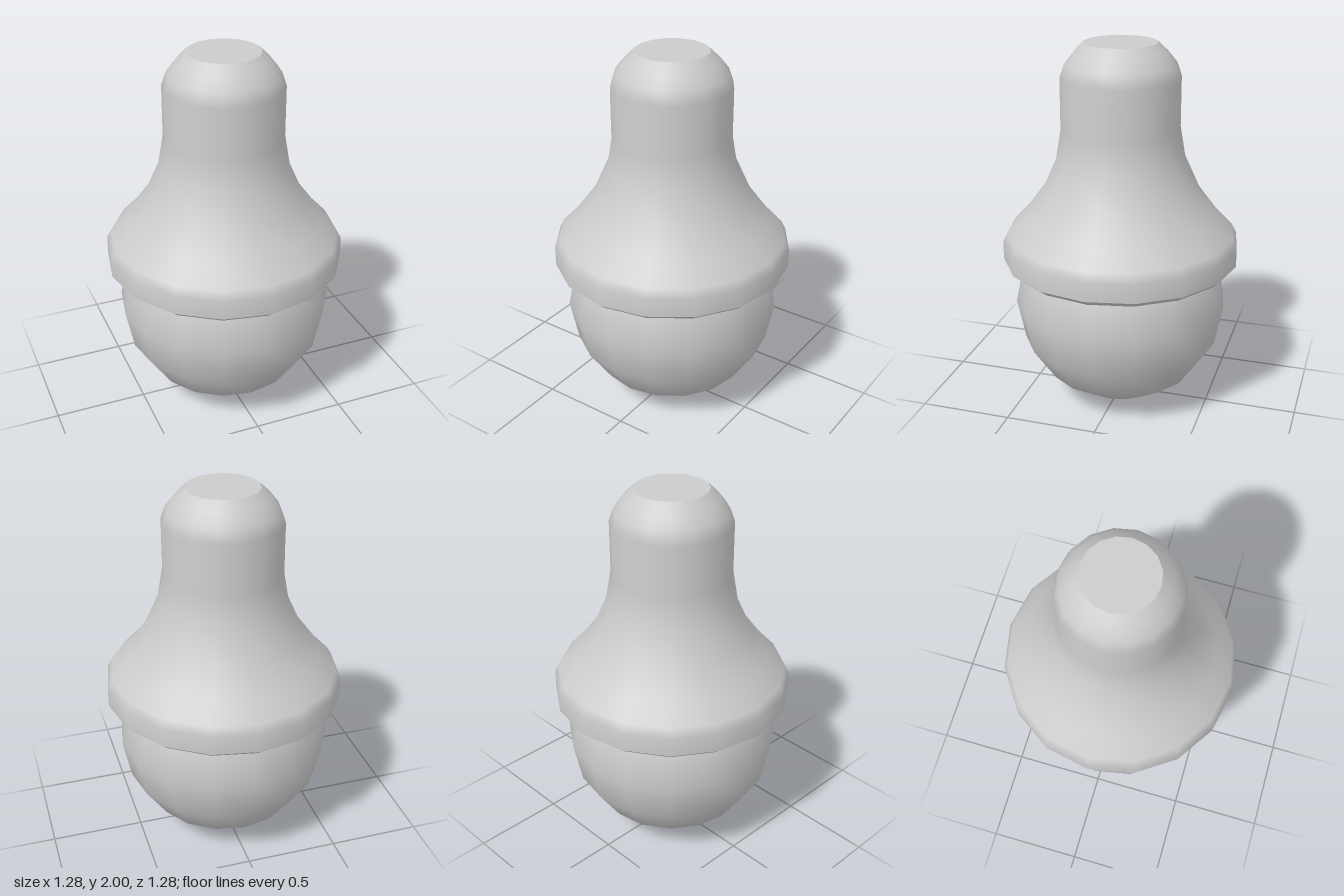
import * as THREE from 'three';

const SIDES = 16;

export function createModel() {
  const group = new THREE.Group();
  const material = new THREE.MeshStandardMaterial({ color: 0xcccccc });

  const add = (name, geometry, parent) => {
    const mesh = new THREE.Mesh(geometry, material);
    mesh.name = name;
    parent.add(mesh);
    return mesh;
  };
  const turned = (profile) =>
    new THREE.LatheGeometry(profile.map(([r, y]) => new THREE.Vector2(r, y)), SIDES);

  // Round ball at the bottom
  add('ball', new THREE.SphereGeometry(0.578, SIDES, 8), group).position.y = 0.58;

  // Bell-shaped housing, split into separate turned strips where its edges are sharp
  const housing = new THREE.Group();
  housing.name = 'housing';
  group.add(housing);

  add('underside', turned([[0, 0.804], [0.6, 0.804]]), housing);
  add('rimChamfer', turned([[0.6, 0.804], [0.638, 0.836]]), housing);
  add('bellAndNeck', turned([
    [0.638, 0.836], [0.638, 0.938], [0.614, 0.985], [0.524, 1.08],
    [0.423, 1.215], [0.344, 1.39], [0.316, 1.55], [0.316, 1.82],
    [0.292, 1.89], [0.244, 1.95], [0.192, 2],
  ]), housing);
  add('topCap', turned([[0.192, 2], [0, 2]]), housing);

  return group;
}
